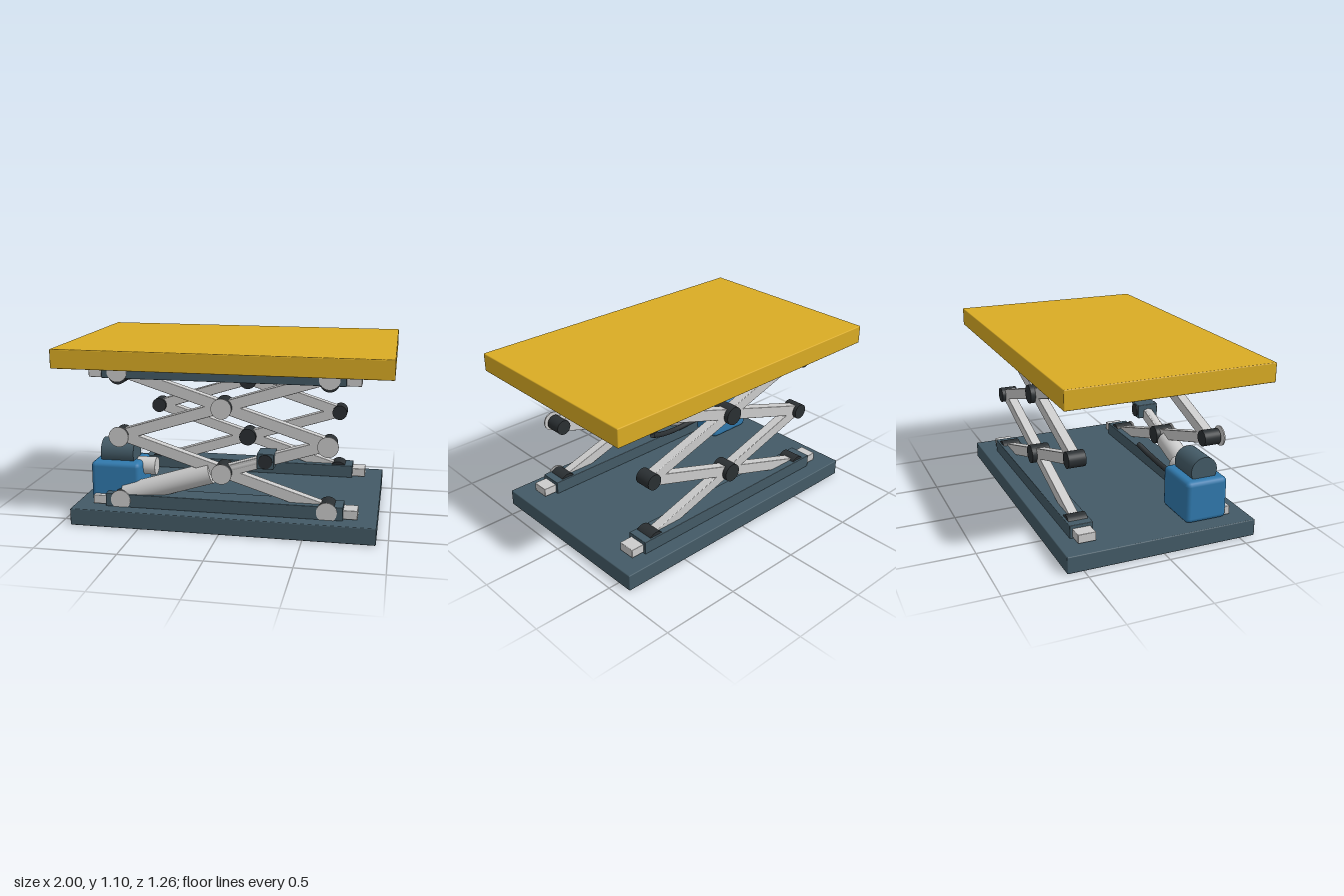
import * as THREE from 'three';
import { RoundedBoxGeometry } from 'three/addons/geometries/RoundedBoxGeometry.js';

const mat = (color) => new THREE.MeshStandardMaterial({ color });

export function createModel() {
  const model = new THREE.Group();
  model.name = 'scissorLift';
  const yellow = mat(0xdaac24), slate = mat(0x435a66), blue = mat(0x3079ad);
  const dark = mat(0x2a2f32), grey = mat(0xcccccc);

  const add = (name, geometry, material, x, y, z, parent = model) => {
    const mesh = new THREE.Mesh(geometry, material);
    mesh.name = name;
    mesh.position.set(x, y, z);
    parent.add(mesh);
    return mesh;
  };
  const box = (w, h, d, r = 0.006) => new RoundedBoxGeometry(w, h, d, 2, r);
  const cylX = (r, l) => new THREE.CylinderGeometry(r, r, l, 32).rotateZ(Math.PI / 2);
  const cylZ = (r, l) => new THREE.CylinderGeometry(r, r, l, 32).rotateX(Math.PI / 2);
  // Place a mesh so its local x axis runs from a to b in the xy plane
  const between = (name, geometry, material, a, b, z, parent) => {
    const mesh = add(name, geometry, material, (a[0] + b[0]) / 2, (a[1] + b[1]) / 2, z, parent);
    mesh.rotation.z = Math.atan2(b[1] - a[1], b[0] - a[0]);
    return mesh;
  };
  const dist = (a, b) => Math.hypot(b[0] - a[0], b[1] - a[1]);

  // Base and platform
  add('base', box(1.86, 0.105, 1.2), slate, 0, 0.0525, 0);
  add('platform', box(2, 0.116, 1.264), yellow, 0, 1.037, 0);

  // Two scissor stacks with their guide rails
  const X = 0.633, Z = 0.435;
  for (const side of [1, -1]) {
    const stack = new THREE.Group();
    stack.name = side > 0 ? 'frontScissor' : 'backScissor';
    stack.position.z = side * Z;
    model.add(stack);

    add('lowerRail', box(1.46, 0.083, 0.145, 0.004), slate, 0, 0.145, 0, stack);
    add('upperRail', box(1.46, 0.07, 0.145, 0.004), slate, 0, 0.945, 0, stack);

    for (const y of [0.15, 0.55]) {
      for (const s of [1, -1]) {
        const a = [-X, s > 0 ? y : y + 0.4], b = [X, s > 0 ? y + 0.4 : y];
        between('arm', box(dist(a, b) + 0.03, 0.068, 0.06, 0.004), grey, a, b, 0, stack);
      }
      add('centrePin', cylZ(0.058, 0.12), dark, 0, y + 0.2, 0, stack);
    }

    for (const s of [1, -1]) {
      add('lowerPin', cylZ(0.058, 0.12), dark, s * X, 0.15, 0, stack);
      add('middlePin', cylZ(0.049, 0.106), dark, s * X, 0.55, 0, stack);
      add('upperPin', cylZ(0.058, 0.12), dark, s * X, 0.93, 0, stack);
      add('lowerSlider', box(0.18, 0.055, 0.11, 0.004), grey, s * 0.725, 0.138, 0, stack);
      add('upperSlider', box(0.18, 0.055, 0.11, 0.004), grey, s * 0.725, 0.938, 0, stack);
    }
  }

  // Thin pivot caps on the front stack
  for (const y of [0.15, 0.55, 0.95])
    for (const s of [1, -1]) add('pivotCap', cylZ(0.062, 0.008), grey, s * X, y, 0.507);
  for (const y of [0.35, 0.75]) add('pivotCap', cylZ(0.062, 0.008), grey, 0, y, 0.507);

  // Hydraulic ram pushing on the front stack
  const foot = [-0.62, 0.165], mid = [-0.075, 0.335], head = [0.265, 0.442];
  between('ramBarrel', cylX(0.066, dist(foot, mid)), grey, foot, mid, Z);
  between('ramRod', cylX(0.032, dist(mid, head)), grey, mid, head, Z);
  add('ramBracket', box(0.102, 0.094, 0.142, 0.005), slate, head[0], head[1], Z);
  add('ramPin', cylZ(0.043, 0.155), dark, head[0], head[1], Z);

  // Power unit: tank, motor and pump
  add('tank', box(0.315, 0.264, 0.27, 0.03), blue, -0.682, 0.237, 0.32);
  add('motor', cylX(0.085, 0.21), slate, -0.683, 0.41, 0.32);
  add('pump', cylX(0.056, 0.12), grey, -0.51, 0.324, 0.32);

  // Hose sagging between the pump and the ram
  const hosePath = new THREE.CatmullRomCurve3([
    new THREE.Vector3(-0.5, 0.2, 0.36),
    new THREE.Vector3(-0.25, 0.21, 0.34),
    new THREE.Vector3(-0.1, 0.25, 0.305),
    new THREE.Vector3(0, 0.3, 0.265),
  ]);
  add('hose', new THREE.TubeGeometry(hosePath, 32, 0.018, 12), dark, 0, 0, 0)
    .material = Object.assign(dark.clone(), { side: THREE.DoubleSide });

  return model;
}
